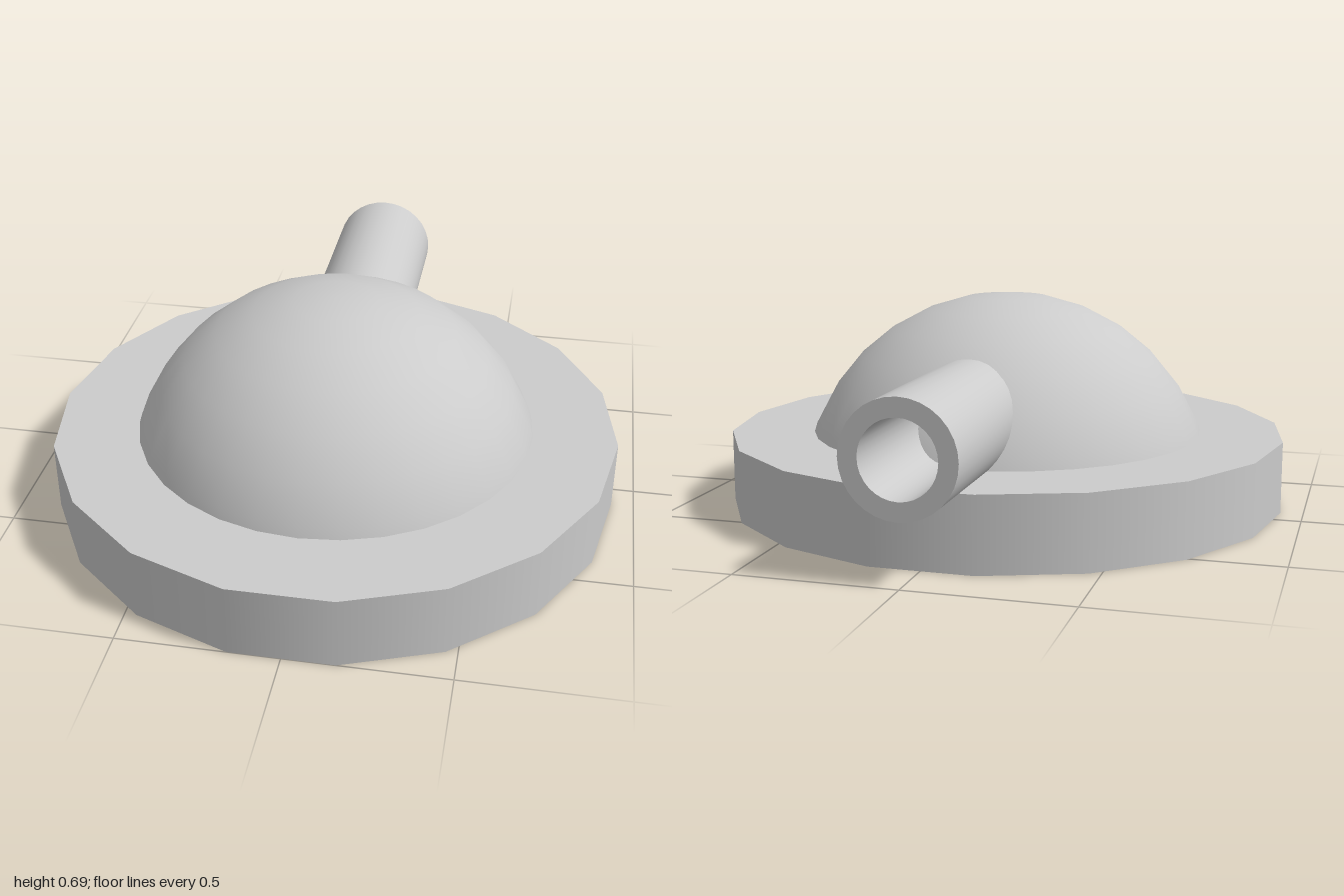
import * as THREE from 'three';
import { toCreasedNormals } from 'three/addons/utils/BufferGeometryUtils.js';

export function createModel() {
  const model = new THREE.Group();
  const material = new THREE.MeshStandardMaterial({ color: 0xcccccc });
  const centreZ = 0.087;

  const add = (name, geometry, x, y, z) => {
    const mesh = new THREE.Mesh(geometry, material);
    mesh.name = name;
    mesh.position.set(x, y, z);
    model.add(mesh);
    return mesh;
  };

  // Eighteen-sided base disc, with corners on the x axis
  const baseHeight = 0.235;
  const base = new THREE.CylinderGeometry(0.927, 0.927, baseHeight, 18);
  base.rotateY(Math.PI / 2);
  add('base', base, 0, baseHeight / 2, centreZ);

  // Dome: upper half of a sphere centred on the floor, its foot hidden in the base
  const dome = new THREE.SphereGeometry(0.695, 32, 7, 0, Math.PI * 2, 0, Math.PI * 7 / 16);
  add('dome', dome, 0, 0, centreZ);

  // Hollow pipe running out of the back of the dome
  const ring = new THREE.Shape().absarc(0, 0, 0.173, 0, Math.PI * 2, false);
  ring.holes.push(new THREE.Path().absarc(0, 0, 0.116, 0, Math.PI * 2, true));
  const pipe = new THREE.ExtrudeGeometry(ring, { depth: 0.75, bevelEnabled: false, curveSegments: 16 });
  add('pipe', toCreasedNormals(pipe, 0.6), 0, 0.362, -1);

  return model;
}
